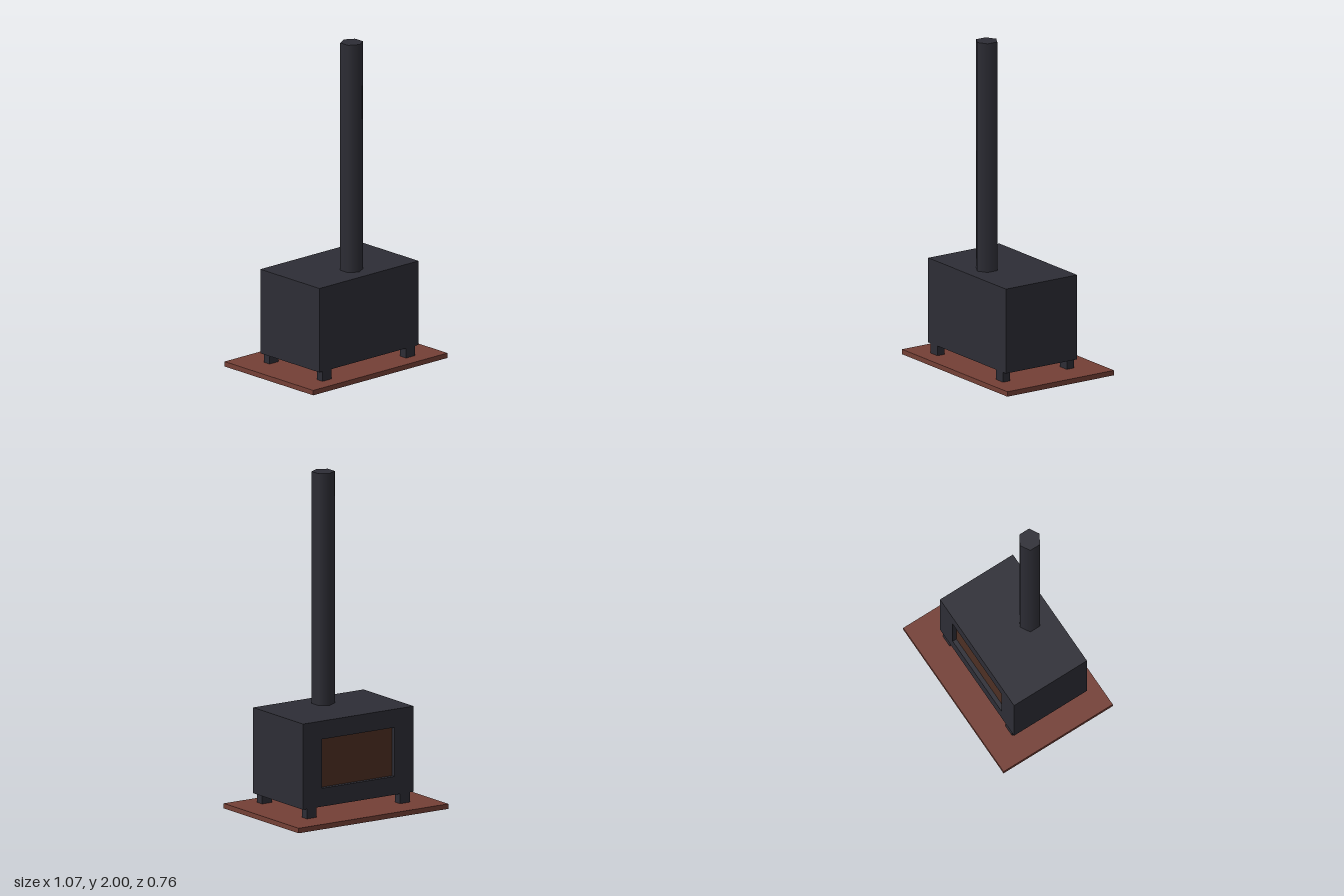
import * as THREE from 'three';

export function createModel() {
  const model = new THREE.Group();
  model.name = 'woodStove';

  const material = (name, color) => {
    const m = new THREE.MeshStandardMaterial({ color });
    m.name = name;
    return m;
  };
  const iron = material('dark iron', 0x2d2d35);
  const brick = material('red brick', 0x743f35);
  const glass = material('brown glass', 0x4d2f23);

  const add = (name, geometry, mat) => {
    const mesh = new THREE.Mesh(geometry, mat);
    mesh.name = name;
    model.add(mesh);
    return mesh;
  };
  // Box given by its lower and upper corners
  const box = (name, [x0, y0, z0], [x1, y1, z1], mat) =>
    add(name, new THREE.BoxGeometry(x1 - x0, y1 - y0, z1 - z0), mat)
      .position.set((x0 + x1) / 2, (y0 + y1) / 2, (z0 + z1) / 2);

  // Hearth slab
  box('hearth', [-0.535, 0, -0.382], [0.535, 0.03, 0.382], brick);

  // Firebox, with a window frame filling its last 0.03 at the back
  const left = 0.39, right = -0.4, bottom = 0.09, top = 0.605;
  const back = -0.22, front = 0.29, recess = 0.03;
  box('firebox', [right, bottom, back + recess], [left, top, front], iron);

  const rect = (path, x0, y0, x1, y1) =>
    path.moveTo(x0, y0).lineTo(x1, y0).lineTo(x1, y1).lineTo(x0, y1).closePath();
  const win = { x0: -0.265, y0: 0.2, x1: 0.255, y1: 0.495 };
  const frame = rect(new THREE.Shape(), right, bottom, left, top);
  frame.holes.push(rect(new THREE.Path(), win.x0, win.y0, win.x1, win.y1));
  add('windowFrame', new THREE.ExtrudeGeometry(frame, { depth: recess, bevelEnabled: false }), iron)
    .position.z = back;

  // Thin pane at the bottom of the recess
  box('window', [win.x0, win.y0, back + recess - 0.004], [win.x1, win.y1, back + recess + 0.002], glass);

  // Four short legs standing in the slab
  for (const x of [-0.34, 0.325]) {
    for (const z of [-0.192, 0.265]) {
      box('leg', [x - 0.035, 0.002, z - 0.025], [x + 0.035, bottom + 0.01, z + 0.025], iron);
    }
  }

  // Six-sided flue pipe
  const flueBase = 0.6;
  add('flue', new THREE.CylinderGeometry(0.068, 0.068, 2 - flueBase, 6), iron)
    .position.set(-0.01, (2 + flueBase) / 2, 0.145);

  return model;
}
